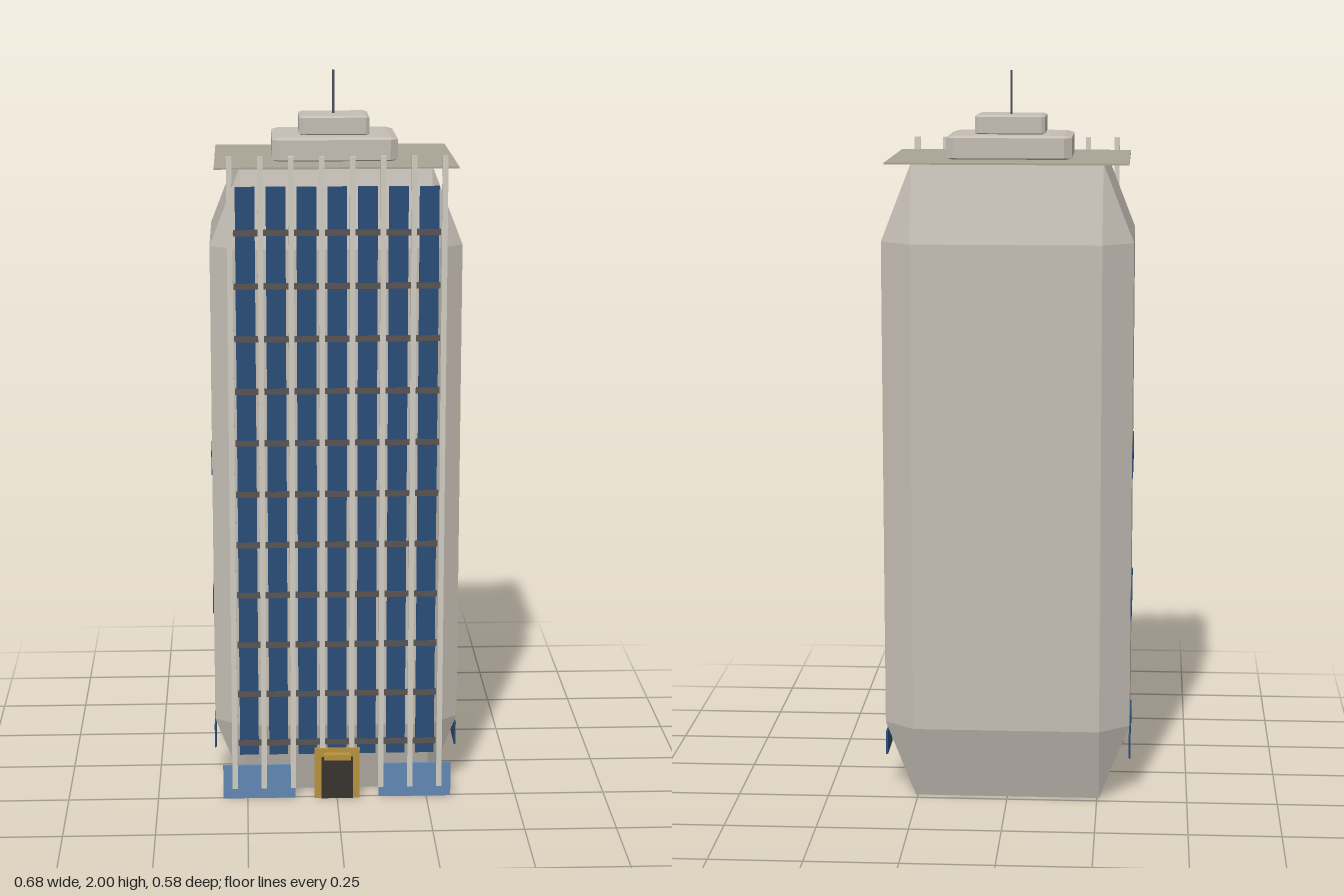
import * as THREE from 'three';
import { ConvexGeometry } from 'three/addons/geometries/ConvexGeometry.js';

const mat = (color) => new THREE.MeshStandardMaterial({ color });

export function createModel() {
  const model = new THREE.Group();
  const stone = mat(0xc4bdb4), roofStone = mat(0xaaa496), finStone = mat(0xd0ccc2);
  const glass = mat(0x2a4d78), paleGlass = mat(0x6288b4), spandrelBrown = mat(0x5a5452);
  const gold = mat(0xb8923e), dark = mat(0x38332e), steel = mat(0x4a4e58);

  const add = (name, geometry, material, parent = model) => {
    const mesh = new THREE.Mesh(geometry, material);
    mesh.name = name;
    parent.add(mesh);
    return mesh;
  };

  const group = (name) => {
    const g = new THREE.Group();
    g.name = name;
    model.add(g);
    return g;
  };

  // Plain box given by its limits on each axis
  const box = (name, material, [x0, x1], [y0, y1], [z0, z1], parent) => {
    const mesh = add(name, new THREE.BoxGeometry(x1 - x0, y1 - y0, z1 - z0), material, parent);
    mesh.position.set((x0 + x1) / 2, (y0 + y1) / 2, (z0 + z1) / 2);
    return mesh;
  };

  // Box with every edge chamfered, by a separate amount per axis
  const chamferBox = (name, material, size, center, cut) => {
    const points = [];
    for (const sx of [-1, 1]) for (const sy of [-1, 1]) for (const sz of [-1, 1]) {
      const s = [sx, sy, sz];
      for (let full = 0; full < 3; full++) {
        const p = s.map((sign, i) => sign * (size[i] / 2 - (i === full ? 0 : cut[i])));
        points.push(new THREE.Vector3(...p));
      }
    }
    add(name, new ConvexGeometry(points), material).position.set(...center);
  };

  // Tower, roof slab and stepped penthouse
  chamferBox('tower', stone, [0.678, 1.765, 0.54], [0, 0.8825, -0.02], [0.083, 0.212, 0.064]);
  box('roofSlab', roofStone, [-0.325, 0.325], [1.762, 1.767], [-0.264, 0.223]);
  chamferBox('penthouse', stone, [0.338, 0.066, 0.272], [0, 1.798, -0.021], [0.02, 0.006, 0.016]);
  chamferBox('upperPenthouse', stone, [0.19, 0.052, 0.152], [0, 1.856, -0.021], [0.01, 0.004, 0.008]);
  box('antenna', steel, [-0.003, 0.003], [1.88, 2], [-0.024, -0.018]);

  // Front: vertical fins with glazing strips between them
  const fins = group('fins');
  const glazing = group('glazing');
  const pitch = 0.0814;
  for (let i = 0; i < 8; i++) {
    const x = (i - 3.5) * pitch;
    box('fin', finStone, [x - 0.0075, x + 0.0075], [0.03, 1.8], [0.247, 0.26], fins);
    if (i < 7) {
      const c = x + pitch / 2;
      box('windowStrip', glass, [c - 0.026, c + 0.026], [0.13, 1.72], [0.247, 0.256], glazing);
    }
  }

  // Floor bands across the glazing
  const bands = group('floorBands');
  for (let i = 0; i < 11; i++) {
    const y = 0.165 + i * 0.1433;
    box('floorBand', spandrelBrown, [-0.275, 0.275], [y - 0.008, y + 0.008], [0.248, 0.257], bands);
  }

  // Small side windows and street-level glass screens
  const sideWindows = group('sideWindows');
  for (const s of [-1, 1]) {
    for (const y of [0.14, 0.538, 0.94]) for (const z of [0.079, -0.138]) {
      const w = add('sideWindow', new THREE.BoxGeometry(0.005, 0.066, 0.119), glass, sideWindows);
      w.position.set(s * 0.3395, y, z);
    }
    const screen = add('glassScreen', new THREE.BoxGeometry(0.202, 0.098, 0.006), paleGlass);
    screen.position.set(s * 0.217, 0.049, 0.253);
  }

  // Entrance: gold surround, dark door and small canopy
  box('doorSurround', gold, [-0.063, 0.063], [0, 0.148], [0.251, 0.262]);
  box('door', dark, [-0.044, 0.044], [0, 0.122], [0.257, 0.265]);
  box('canopy', gold, [-0.037, 0.037], [0.122, 0.138], [0.27, 0.289]);

  return model;
}
